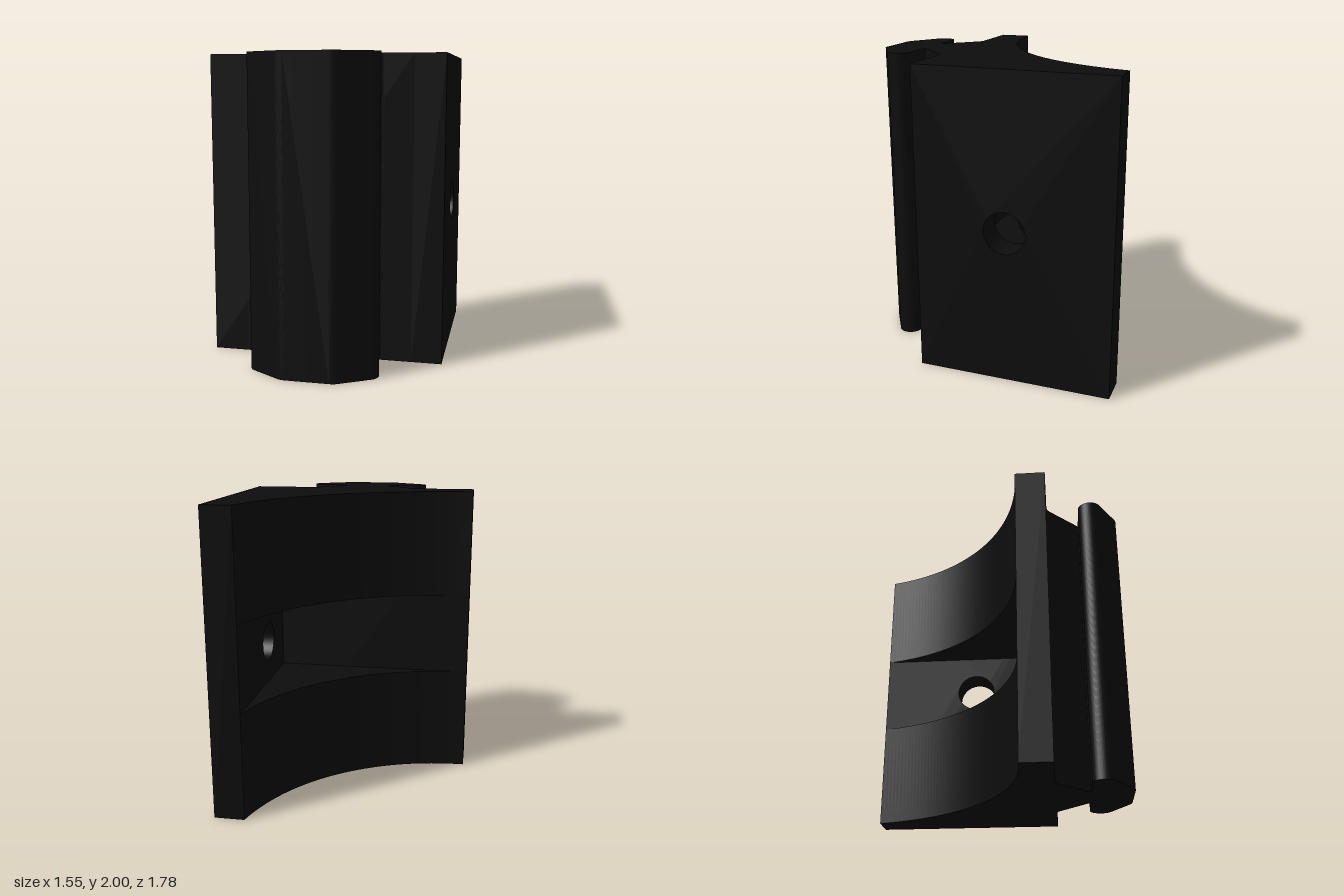
import * as THREE from 'three';
import { toCreasedNormals } from 'three/addons/utils/BufferGeometryUtils.js';

const HEIGHT = 2, HALF_W = 0.775, BACK = -0.89, FRONT = 0.39, WALL = 0.2;
const INNER_X = HALF_W - WALL, INNER_Z = FRONT - WALL;
const SLOT_LOW = 0.72;

export function createModel() {
  const group = new THREE.Group();
  const material = new THREE.MeshStandardMaterial({ color: 0x0d0d0d });

  const add = (name, geometry) => {
    const mesh = new THREE.Mesh(toCreasedNormals(geometry, 0.6), material);
    mesh.name = name;
    group.add(mesh);
  };
  const extrude = (shape, depth) =>
    new THREE.ExtrudeGeometry(shape, { depth, bevelEnabled: false, curveSegments: 32 });
  // Plan shapes use (x, -z) and rise along y
  const rise = (shape, y, height) => extrude(shape, height).rotateX(-Math.PI / 2).translate(0, y, 0);

  // Side wall, pierced by a round screw hole
  const wall = new THREE.Shape();
  wall.moveTo(-FRONT, 0).lineTo(-BACK, 0).lineTo(-BACK, HEIGHT).lineTo(-FRONT, HEIGHT).closePath();
  wall.holes.push(new THREE.Path().absarc(0.2, 1, 0.136, 0, Math.PI * 2, true));
  add('sideWall', extrude(wall, WALL).rotateY(Math.PI / 2).translate(INNER_X, 0, 0));

  // Front plate
  const plateWidth = INNER_X + HALF_W;
  add('frontPlate', new THREE.BoxGeometry(plateWidth, HEIGHT, WALL)
    .translate((INNER_X - HALF_W) / 2, HEIGHT / 2, (FRONT + INNER_Z) / 2));

  // Concave webs above and below the open pocket
  const web = new THREE.Shape();
  const cy = 1.194;
  web.absarc(-HALF_W, cy, cy + INNER_Z, -Math.PI / 2, Math.atan2(-BACK - cy, plateWidth), false);
  web.lineTo(INNER_X, -INNER_Z).closePath();
  add('lowerWeb', rise(web, 0, SLOT_LOW));
  add('upperWeb', rise(web, HEIGHT - SLOT_LOW, SLOT_LOW));

  // Tapered neck with filleted root
  const neck = new THREE.Shape();
  neck.moveTo(-0.385, -FRONT).quadraticCurveTo(-0.35, -FRONT, -0.325, -0.415);
  neck.lineTo(-0.125, -0.615).lineTo(0.125, -0.615).lineTo(0.325, -0.415);
  neck.quadraticCurveTo(0.35, -FRONT, 0.385, -FRONT).closePath();
  add('railNeck', rise(neck, 0, HEIGHT));

  // Wide rail head with rounded lips and chamfered face
  const head = new THREE.Shape();
  const lip = 0.079, lipX = 0.336, lipZ = 0.692, slope = Math.PI / 3;
  head.moveTo(-lipX, -lipZ + lip).lineTo(lipX, -lipZ + lip);
  head.absarc(lipX, -lipZ, lip, Math.PI / 2, -slope, true);
  head.lineTo(0.2, -0.868).quadraticCurveTo(0.175, -0.887, 0.14, -0.887);
  head.lineTo(-0.14, -0.887).quadraticCurveTo(-0.175, -0.887, -0.2, -0.868);
  head.absarc(-lipX, -lipZ, lip, Math.PI + slope, Math.PI / 2, true);
  add('railHead', rise(head, 0, HEIGHT));

  return group;
}
